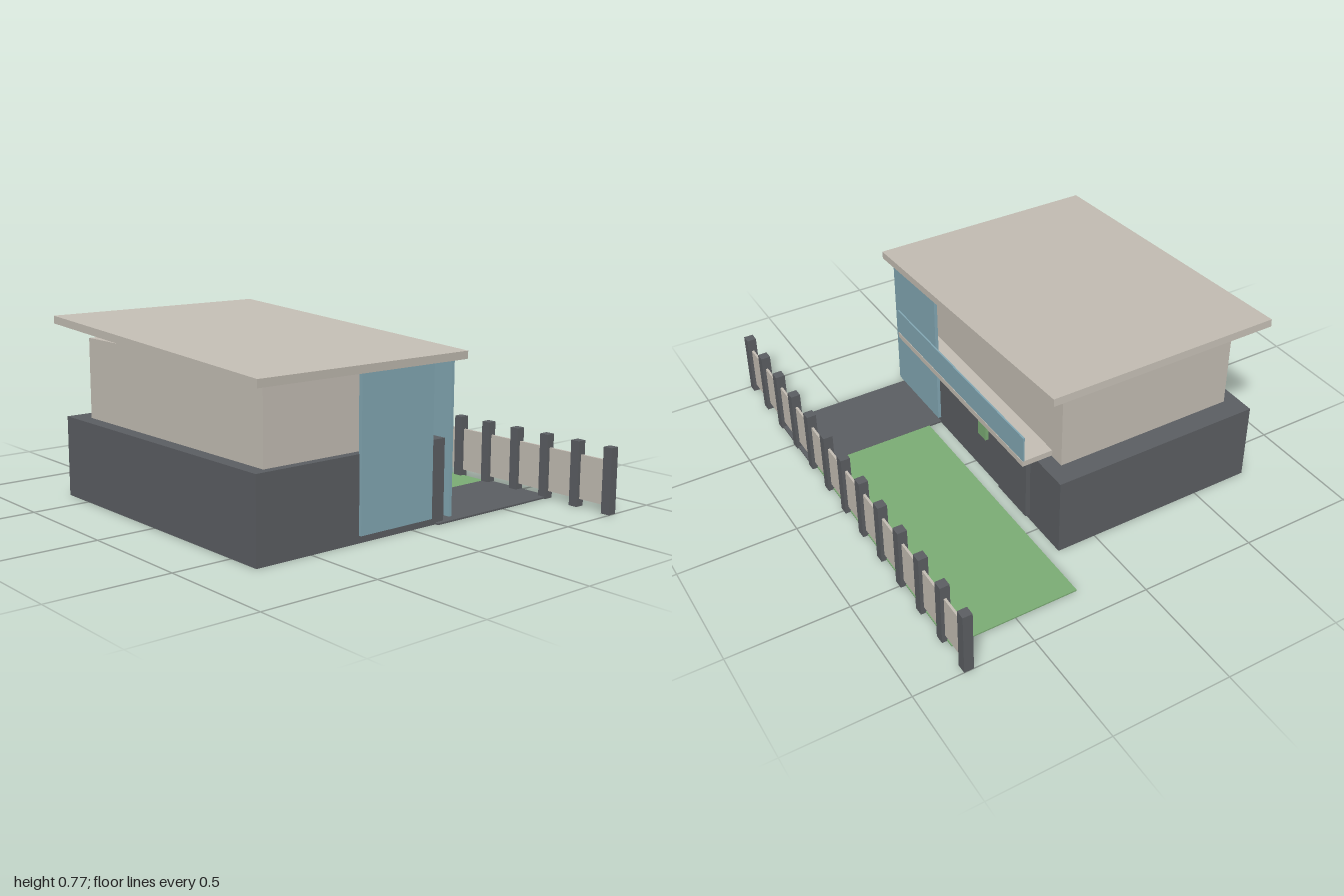
import * as THREE from 'three';

export function createModel() {
  const model = new THREE.Group();
  model.name = 'house';
  const material = (name, color) => {
    const m = new THREE.MeshStandardMaterial({ color });
    m.name = name;
    return m;
  };
  const plaster = material('plaster', 0xc5bfb5);
  const charcoal = material('charcoal', 0x5c5f63);
  const glass = material('glass', 0x83a8b4);
  const grass = material('grass', 0x7cad75);

  // Box given by its extents along x, y and z
  const box = (name, mat, [x0, x1], [y0, y1], [z0, z1], parent = model) => {
    const mesh = new THREE.Mesh(new THREE.BoxGeometry(x1 - x0, y1 - y0, z1 - z0), mat);
    mesh.position.set((x0 + x1) / 2, (y0 + y1) / 2, (z0 + z1) / 2);
    mesh.name = name;
    parent.add(mesh);
    return mesh;
  };

  // House volumes
  box('lowerStorey', charcoal, [-0.65, 0.65], [0, 0.34], [-0.17, 0.75]);
  box('upperStorey', plaster, [-0.555, 0.615], [0.34, 0.676], [-0.105, 0.69]);

  // Slanted roof slab
  const roof = box('roof', plaster, [-0.69, 0.69], [-0.016, 0.016], [-0.215, 0.793]);
  roof.position.x = 0.03;
  roof.position.y = 0.709;
  roof.rotation.z = -Math.atan2(0.082, 1.38);

  // Tall corner glazing on the side and the back
  box('sideGlass', glass, [0.645, 0.662], [0.03, 0.645], [-0.095, 0.272]);
  box('backGlass', glass, [0.31, 0.68], [0.03, 0.645], [-0.184, -0.17]);

  // Balcony with glass railing
  box('balconySlab', plaster, [-0.49, 0.55], [0.345, 0.37], [-0.24, -0.1]);
  box('balconyRailing', glass, [-0.49, 0.55], [0.37, 0.482], [-0.238, -0.231]);

  // Back door and the small green plate beside it
  box('backDoor', charcoal, [-0.435, -0.22], [0.025, 0.325], [-0.19, -0.165]);
  box('wallPlate', grass, [-0.165, -0.105], [0.242, 0.308], [-0.217, -0.203]);

  // Ground slabs
  box('lawn', grass, [-0.87, 0.31], [0.001, 0.007], [-0.772, -0.23]);
  box('driveway', charcoal, [0.31, 0.668], [0.001, 0.008], [-0.787, -0.125]);

  // Fence: evenly spaced posts joined by thin panels
  const fence = new THREE.Group();
  fence.name = 'fence';
  model.add(fence);
  const step = 0.98 / 6;
  for (let i = -6; i <= 6; i++) {
    const x = i * step;
    box('fencePost', charcoal, [x - 0.02, x + 0.02], [0, 0.275], [-0.793, -0.753], fence);
    if (i < 6) {
      box('fencePanel', plaster, [x + 0.02, x + step - 0.02], [0.032, 0.218], [-0.779, -0.769], fence);
    }
  }
  return model;
}
